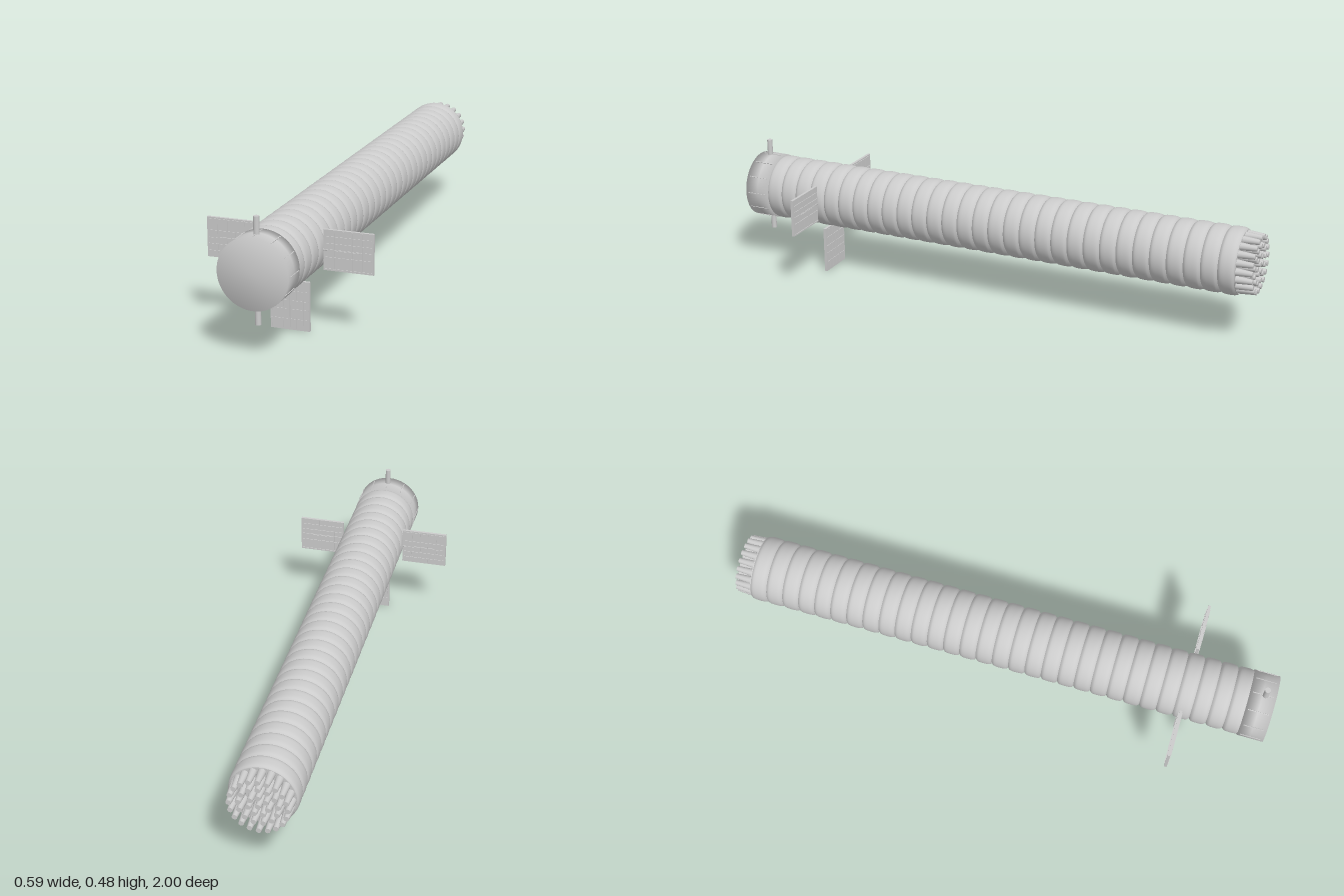
import * as THREE from 'three';

const AXIS_Y = 0.296;   // height of the body's long axis

export function createModel() {
  const model = new THREE.Group();
  const grey = new THREE.MeshStandardMaterial({ color: 0xcccccc });
  const body = new THREE.Group();
  body.name = 'body';
  body.position.y = AXIS_Y;
  model.add(body);

  const add = (parent, name, geometry, x = 0, y = 0, z = 0) => {
    const mesh = new THREE.Mesh(geometry, grey);
    mesh.name = name;
    mesh.position.set(x, y, z);
    parent.add(mesh);
    return mesh;
  };
  // Revolve (radius, z) points around the z axis
  const revolve = (points, segments = 64) =>
    new THREE.LatheGeometry(points.map(([r, z]) => new THREE.Vector2(r, z)), segments).rotateX(Math.PI / 2);

  // Ribbed hull: a row of identical rounded segments
  const ribs = 30, back = -0.94, front = 0.91;
  const pitch = (front - back) / ribs;
  const profile = [];
  for (let i = 0; i <= 10; i++) {
    const t = i / 5 - 1;
    profile.push([0.111 + 0.0095 * Math.sqrt(1 - Math.abs(t) ** 3), t * pitch / 2]);
  }
  const ribGeometry = revolve(profile);
  for (let i = 0; i < ribs; i++) add(body, 'hullRib', ribGeometry, 0, 0, back + (i + 0.5) * pitch);

  // Closing plate at the back of the hull
  add(body, 'backPlate', new THREE.CylinderGeometry(0.113, 0.113, 0.02, 64).rotateX(Math.PI / 2), 0, 0, back + 0.009);

  // Nose cap, softly shaded over its rim
  add(body, 'noseCap', revolve([[0, 0.905], [0.122, 0.905], [0.122, 0.95], [0.122, 1], [0, 1]]));
  const capBar = new THREE.BoxGeometry(0.003, 0.005, 0.075);
  for (let i = 0; i < 12; i++) {
    const a = i * Math.PI / 6;
    add(body, 'capBar', capBar, 0.1215 * Math.sin(a), 0.1215 * Math.cos(a), 0.952).rotation.z = -a;
  }

  // Short rods above and below the cap
  for (const s of [1, -1]) {
    add(body, s > 0 ? 'topRod' : 'bottomRod', new THREE.CylinderGeometry(0.01, 0.01, 0.07, 24), 0, s * 0.146, 0.96);
  }

  // Cluster of small nozzles in concentric rings
  const nozzle = new THREE.CylinderGeometry(0.0145, 0.0095, 0.066, 12).rotateX(Math.PI / 2);
  for (const [radius, count] of [[0, 1], [0.034, 7], [0.067, 13], [0.098, 20]]) {
    for (let i = 0; i < count; i++) {
      const a = i / count * Math.PI * 2;
      add(body, 'nozzle', nozzle, radius * Math.sin(a), radius * Math.cos(a), -0.967);
    }
  }

  // Panels reaching outward along their own +x, with raised grid strips on both faces
  const length = 0.174, width = 0.14;
  const makePanel = (name, angle) => {
    const panel = new THREE.Group();
    panel.name = name;
    panel.position.z = 0.69;
    panel.rotation.z = angle;
    body.add(panel);
    const mid = 0.121 + length / 2;
    add(panel, 'panelSheet', new THREE.BoxGeometry(length, width, 0.01), mid);
    add(panel, 'panelMount', new THREE.CylinderGeometry(0.006, 0.006, 0.03, 16).rotateZ(Math.PI / 2), 0.118);
    for (const u of [-0.05, -0.016, 0.014, 0.049]) {
      add(panel, 'crossStrip', new THREE.BoxGeometry(0.002, width - 0.008, 0.014), mid + u);
    }
    for (const v of [-0.064, -0.024, 0.002, 0.023, 0.047]) {
      add(panel, 'longStrip', new THREE.BoxGeometry(length - 0.012, 0.002, 0.015), mid, v);
    }
    add(panel, 'centreRod', new THREE.BoxGeometry(0.08, 0.003, 0.018), mid, -0.001);
  };
  makePanel('leftPanel', 0);
  makePanel('rightPanel', Math.PI);
  makePanel('bottomPanel', -Math.PI / 2);

  return model;
}
